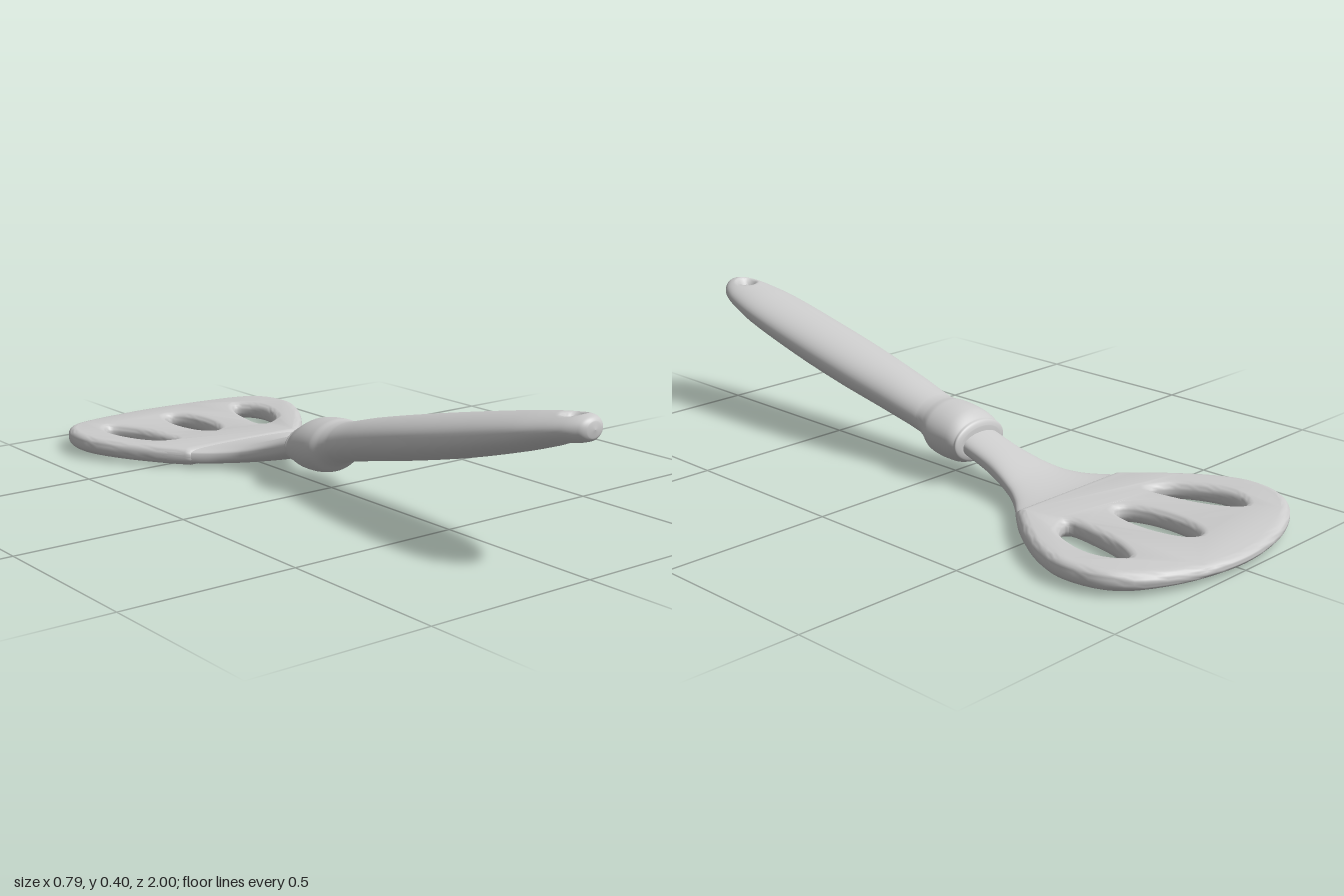
import * as THREE from 'three';
import { toCreasedNormals } from 'three/addons/utils/BufferGeometryUtils.js';

const material = new THREE.MeshStandardMaterial({ color: 0xcccccc });
const dish = (x) => 0.012 * (x / 0.39) ** 2; // blade edges curl up slightly

// Smooth interpolation of rows [z, halfWidth, top, bottom, squareness] along z
function smoothRows(rows, steps) {
  const out = [];
  const slope = (i, k) => {
    const a = rows[Math.max(i - 1, 0)], b = rows[Math.min(i + 1, rows.length - 1)];
    return (b[k] - a[k]) / (b[0] - a[0]);
  };
  for (let i = 0; i < rows.length - 1; i++) {
    const p = rows[i], q = rows[i + 1], dz = q[0] - p[0];
    for (let s = 0; s < steps; s++) {
      const t = s / steps, t2 = t * t, t3 = t2 * t;
      out.push(p.map((v, k) => k === 0 ? v + dz * t
        : (2 * t3 - 3 * t2 + 1) * v + (t3 - 2 * t2 + t) * dz * slope(i, k)
        + (3 * t2 - 2 * t3) * q[k] + (t3 - t2) * dz * slope(i + 1, k)));
    }
  }
  out.push(rows[rows.length - 1]);
  return out;
}

// Loft of oval sections, optionally pierced by a small vertical eyelet
function loft(rows, steps, eyelet) {
  const sections = smoothRows(rows, steps), n = 48;
  const pos = [], index = [], inHole = [];
  for (const [z0, w, top, bottom, e] of sections) {
    for (let j = 0; j < n; j++) {
      const a = (j / n) * Math.PI * 2, s = Math.sin(a), mid = (top + bottom) / 2;
      let x = w * Math.cos(a), z = z0, hit = false;
      let h = ((top - bottom) / 2) * Math.sign(s) * Math.abs(s) ** e;
      if (eyelet) {
        const d = Math.hypot(x, z - eyelet.z);
        h *= THREE.MathUtils.smoothstep(d, eyelet.r * 0.7, eyelet.outer);
        if (d < eyelet.r) {
          const f = d > 1e-6 ? eyelet.r / d : 1;
          x *= f;
          z = eyelet.z + (z - eyelet.z) * f;
          h = 0;
          hit = true;
        }
      }
      pos.push(x, mid + h + dish(x), z);
      inHole.push(hit);
    }
  }
  for (let i = 0; i < sections.length - 1; i++) {
    for (let j = 0; j < n; j++) {
      const a = i * n + j, b = i * n + (j + 1) % n, c = a + n, d = b + n;
      if ([a, b, c, d].every((v) => inHole[v])) continue;
      index.push(a, c, b, b, c, d);
    }
  }
  const geo = new THREE.BufferGeometry();
  geo.setAttribute('position', new THREE.Float32BufferAttribute(pos, 3));
  geo.setIndex(index);
  geo.computeVertexNormals();
  return geo;
}

// Closed smooth outline through a few [x, forward] points
function smoothLoop(points, count) {
  const curve = new THREE.CatmullRomCurve3(points.map(([x, y]) => new THREE.Vector3(x, y, 0)), true);
  return curve.getPoints(count).slice(0, -1).map((p) => new THREE.Vector2(p.x, p.y));
}

function bladeGeometry() {
  // Half outline, mirrored to the other side
  const half = [[0.2, 0.42], [0.27, 0.5], [0.34, 0.6], [0.383, 0.69], [0.393, 0.76],
    [0.375, 0.84], [0.32, 0.91], [0.22, 0.962], [0.11, 0.99]];
  const side = new THREE.SplineCurve([...half, [0, 1], ...half.map(([x, y]) => [-x, y]).reverse()]
    .map(([x, y]) => new THREE.Vector2(x, y)));
  const shape = new THREE.Shape(side.getPoints(72));

  // Three slots: a central oval and two slanted teardrops
  const slot = [[0.24, 0.82], [0.272, 0.785], [0.282, 0.73], [0.262, 0.65], [0.225, 0.59],
    [0.165, 0.565], [0.168, 0.65], [0.195, 0.757]];
  const oval = [...Array(12)].map((_, i) => {
    const a = (i / 12) * Math.PI * 2;
    return [0.05 * Math.cos(a), 0.722 + 0.13 * Math.sin(a)];
  });
  for (const pts of [oval, slot, slot.map(([x, y]) => [-x, y])]) {
    shape.holes.push(new THREE.Path(smoothLoop(pts, 36)));
  }

  const geo = new THREE.ExtrudeGeometry(shape, {
    depth: 0.01, bevelEnabled: true, bevelThickness: 0.022, bevelSize: 0.024,
    bevelOffset: -0.024, bevelSegments: 5,
  });
  geo.rotateX(-Math.PI / 2).translate(0, 0.03, 0);
  const p = geo.attributes.position;
  for (let i = 0; i < p.count; i++) {
    // Thin the front lip and curl the sides
    const thin = 1 - 0.35 * THREE.MathUtils.smoothstep(-p.getZ(i), 0.85, 1);
    p.setY(i, 0.036 + (p.getY(i) - 0.035) * thin + dish(p.getX(i)));
  }
  return toCreasedNormals(geo, 0.9);
}

export function createModel() {
  const model = new THREE.Group();
  const add = (name, geo) => {
    const mesh = new THREE.Mesh(geo, material);
    mesh.name = name;
    model.add(mesh);
  };

  // Tilted grip with hanging eyelet and a bulging collar at its lower end
  add('handle', loft([
    [1, 0, 0.375, 0.375, 1],
    [0.995, 0.026, 0.396, 0.352, 1],
    [0.98, 0.045, 0.406, 0.342, 1],
    [0.95, 0.066, 0.407, 0.334, 1],
    [0.9, 0.084, 0.4, 0.318, 1],
    [0.8, 0.1, 0.383, 0.284, 0.95],
    [0.6, 0.105, 0.342, 0.225, 0.95],
    [0.4, 0.102, 0.298, 0.175, 0.95],
    [0.2, 0.09, 0.25, 0.13, 1],
    [0.08, 0.082, 0.216, 0.1, 1],
    [0.05, 0.088, 0.212, 0.084, 1],
    [0.02, 0.1, 0.213, 0.06, 1],
    [-0.05, 0.1, 0.203, 0.052, 1],
    [-0.085, 0.095, 0.183, 0.062, 1],
    [-0.1, 0.08, 0.165, 0.075, 1],
    [-0.103, 0, 0.118, 0.118, 1],
  ], 10, { z: 0.93, r: 0.012, outer: 0.036 }));

  // Neck sweeping down and fanning out into the blade
  add('neck', loft([
    [-0.04, 0.072, 0.168, 0.095, 0.9],
    [-0.1, 0.07, 0.15, 0.08, 0.85],
    [-0.2, 0.075, 0.118, 0.05, 0.75],
    [-0.3, 0.105, 0.084, 0.025, 0.6],
    [-0.36, 0.143, 0.07, 0.014, 0.5],
    [-0.42, 0.2, 0.063, 0.009, 0.4],
    [-0.5, 0.268, 0.062, 0.01, 0.35],
    [-0.52, 0.26, 0.05, 0.022, 0.35],
  ], 6));

  add('slottedBlade', bladeGeometry());
  return model;
}
